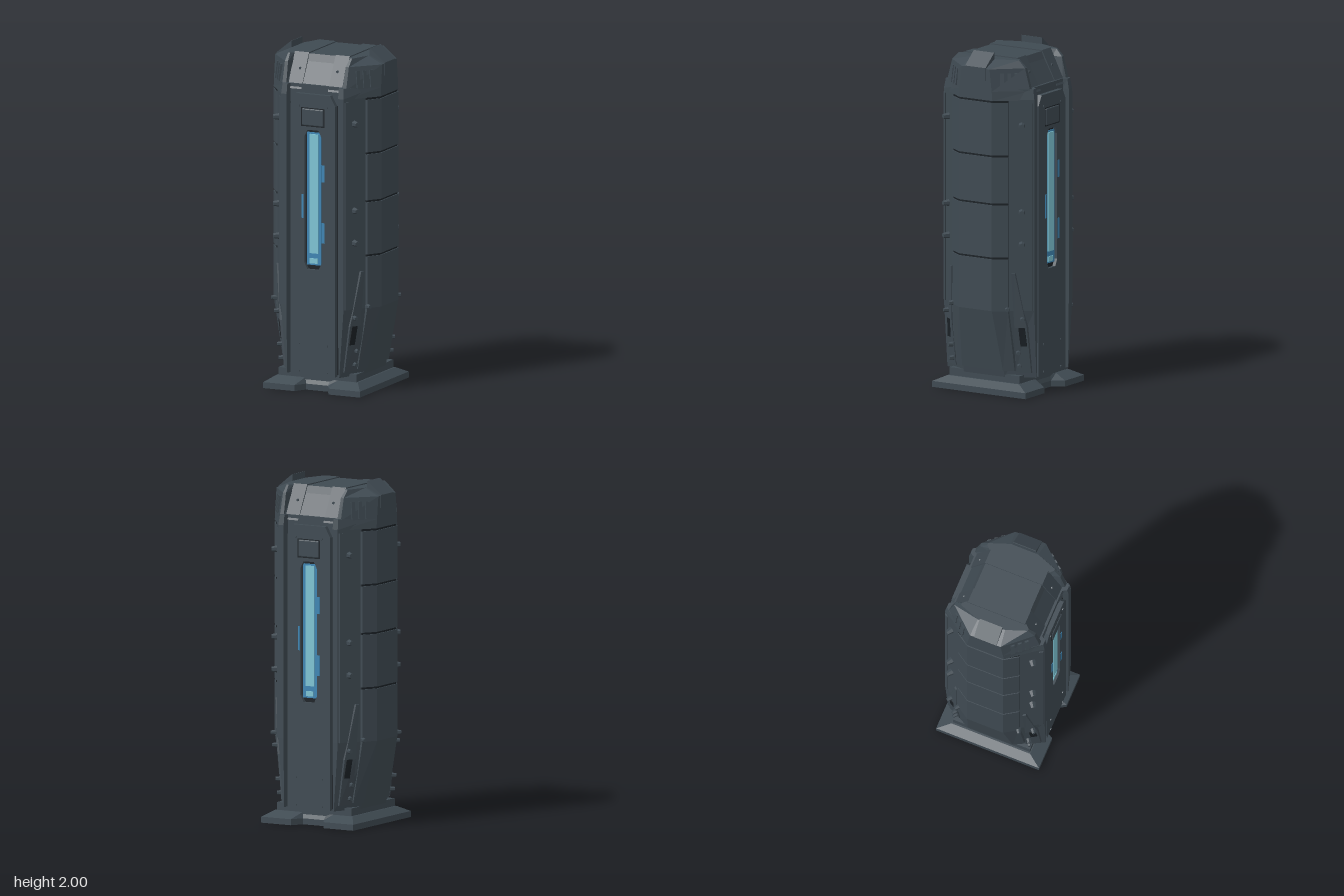
import * as THREE from 'three';
import { RoundedBoxGeometry } from 'three/addons/geometries/RoundedBoxGeometry.js';

const mat = (name, color) => new THREE.MeshStandardMaterial({ name, color, flatShading: true });

// Closed faceted solid through rings of [x, z] points at given heights
function loft(rings) {
  const pos = [];
  const tri = (...ps) => ps.forEach((p) => pos.push(...p));
  const pts = rings.map(([y, ring]) => ring.map(([x, z]) => [x, y, z]));
  const n = pts[0].length;
  const centre = (r) => [0, 1, 2].map((k) => r.reduce((s, p) => s + p[k], 0) / n);
  const top = pts[pts.length - 1], cb = centre(pts[0]), ct = centre(top);
  for (let i = 0; i < n; i++) {
    const j = (i + 1) % n;
    for (let r = 0; r < pts.length - 1; r++) {
      const a = pts[r], b = pts[r + 1];
      tri(a[i], b[i], a[j]);
      tri(a[j], b[i], b[j]);
    }
    tri(cb, pts[0][i], pts[0][j]);
    tri(ct, top[j], top[i]);
  }
  const g = new THREE.BufferGeometry();
  g.setAttribute('position', new THREE.Float32BufferAttribute(pos, 3));
  g.computeVertexNormals();
  return g;
}

// Mirror one quarter outline (from +x round to +z) into a full ring
function quad(q) {
  const rev = [...q].reverse();
  return [...q, ...rev.map(([x, z]) => [-x, z]), ...q.map(([x, z]) => [-x, -z]), ...rev.map(([x, z]) => [x, -z])];
}
const rect = (x0, x1, z) => [[x1, -z], [x1, z], [x0, z], [x0, -z]];

// Body surface: x on the slanted corner face for a given height and z
const lerp = THREE.MathUtils.lerp;
function cornerX(y, z) {
  const k = Math.min(1, Math.max(0, (y - 0.1) / 0.4));
  const hx = lerp(0.25, 0.335, k), cx = lerp(0.17, 0.2, k), cz = lerp(0.14, 0.11, k), hz = lerp(0.305, 0.31, k);
  return hx + ((cx - hx) * (z - cz)) / (hz - cz);
}

export function createModel() {
  const model = new THREE.Group();
  model.name = 'armouredPylon';
  const slate = mat('slate metal', 0x3f4a52);
  const dark = mat('dark seam', 0x1b2126);
  const light = mat('glowing cyan', 0x7fc6d6);
  const blue = mat('deep blue', 0x3f86b4);
  const add = (name, geo, m, x = 0, y = 0, z = 0, ry = 0) => {
    const mesh = new THREE.Mesh(geo, m);
    mesh.name = name;
    mesh.position.set(x, y, z);
    mesh.rotation.y = ry;
    model.add(mesh);
    return mesh;
  };
  const box = (w, h, d) => new THREE.BoxGeometry(w, h, d);

  // Base slab with front and back notches, then the neck
  add('baseSlab', loft([
    [0, quad([[0.31, 0.32], [0.11, 0.32], [0.07, 0.25]])],
    [0.035, quad([[0.31, 0.32], [0.11, 0.32], [0.07, 0.25]])],
    [0.07, quad([[0.26, 0.245], [0.13, 0.245], [0.08, 0.235]])],
  ]), slate);
  add('neck', box(0.5, 0.06, 0.48), slate, 0, 0.085, 0);

  // Main body with channels on the front and back
  const section = (hx, cz, cx, hz) => quad([[hx, cz], [cx, hz], [0.165, hz], [0.157, 0.275]]);
  add('body', loft([
    [0.1, section(0.25, 0.14, 0.17, 0.305)],
    [0.5, section(0.335, 0.11, 0.2, 0.31)],
    [1.74, section(0.335, 0.11, 0.2, 0.31)],
    [1.8, section(0.335, 0.11, 0.195, 0.3)],
  ]), slate);

  // Side armour in four plates, with dark seams between them
  const shell = (hx, cz, ex, ez) => [[hx, -cz], [hx, cz], [ex, ez], [0.2, ez], [0.2, -ez], [ex, -ez]];
  const full = shell(0.345, 0.112, 0.294, 0.19);
  const inner = shell(0.338, 0.112, 0.288, 0.188);
  const plates = [
    [[0.14, shell(0.27, 0.14, 0.238, 0.2)], [0.5, full], [0.804, full]],
    [[0.816, full], [1.122, full]],
    [[1.134, full], [1.404, full]],
    [[1.416, full], [1.724, full]],
  ];
  for (const ry of [0, Math.PI]) {
    plates.forEach((p) => add('sideArmour', loft(p), slate, 0, 0, 0, ry));
    [0.81, 1.128, 1.41, 1.73].forEach((y) =>
      add('sideSeam', loft([[y - 0.006, inner], [y + 0.006, inner]]), dark, 0, 0, 0, ry));
    // Upright prong on each side of the roof
    add('roofProng', loft([
      [1.85, rect(0.25, 0.346, 0.07)], [1.925, rect(0.25, 0.346, 0.07)], [2, rect(0.25, 0.254, 0.07)],
    ]), slate, 0, 0, 0, ry);
  }

  // Sloped cap with corner ridges, and roof pads either side of the centre strip
  add('cap', loft([
    [1.736, quad([[0.343, 0.115], [0.21, 0.29], [0.19, 0.285], [0.17, 0.27]])],
    [1.79, quad([[0.343, 0.11], [0.205, 0.285], [0.18, 0.283], [0.17, 0.266]])],
    [1.92, quad([[0.343, 0.095], [0.205, 0.25], [0.185, 0.25], [0.172, 0.194]])],
    [1.962, quad([[0.25, 0.085], [0.205, 0.208], [0.192, 0.208], [0.178, 0.175]])],
  ]), slate);
  for (const s of [-1, 1]) {
    const [x0, x1] = s > 0 ? [0.085, 0.176] : [-0.176, -0.085];
    add('roofPad', loft([[1.77, rect(x0, x1, 0.281)], [1.968, rect(x0, x1, 0.178)]]), slate);
  }

  // Front and back door plates with a window slot
  const door = new THREE.Shape([
    [-0.143, 0.1], [0.143, 0.1], [0.143, 1.69], [0.11, 1.75], [-0.11, 1.75], [-0.143, 1.69],
  ].map((p) => new THREE.Vector2(...p)));
  door.holes.push(new THREE.Path([
    [-0.055, 0.76], [-0.055, 1.5], [-0.035, 1.54], [0.035, 1.54], [0.055, 1.5], [0.055, 0.76], [0.035, 0.72], [-0.035, 0.72],
  ].map((p) => new THREE.Vector2(...p))));
  const doorGeo = new THREE.ExtrudeGeometry(door, { depth: 0.032, bevelEnabled: false });
  for (const s of [1, -1]) {
    const ry = s > 0 ? 0 : Math.PI;
    const face = (name, geo, m, x, y, z) => add(name, geo, m, s * x, y, s * z, ry);
    face('doorPlate', doorGeo, slate, 0, 0, 0.27);
    face('windowRecess', box(0.11, 0.82, 0.006), dark, 0, 1.13, 0.279);
    face('windowFrame', box(0.092, 0.78, 0.008), blue, 0, 1.135, 0.284);
    face('windowLight', box(0.056, 0.70, 0.009), light, 0.002, 1.165, 0.291);
    face('windowFoot', box(0.05, 0.03, 0.009), light, 0, 0.77, 0.289);
    face('glowPatch', box(0.018, 0.1, 0.004), blue, 0.066, 1.29, 0.302);
    face('glowPatch', box(0.018, 0.12, 0.004), blue, 0.066, 0.94, 0.302);
    face('glowPatch', box(0.012, 0.14, 0.004), blue, -0.066, 1.09, 0.302);
    face('buttonSurround', box(0.15, 0.11, 0.004), dark, 0, 1.615, 0.301);
    face('button', new RoundedBoxGeometry(0.138, 0.1, 0.016, 2, 0.007), slate, 0, 1.615, 0.302);
    for (const x of [-1, 1]) {
      face('doorSeam', box(0.012, 1.58, 0.004), dark, x * 0.15, 0.9, 0.277);
      const rivet = new THREE.CylinderGeometry(0.008, 0.008, 0.008, 6).rotateX(Math.PI / 2);
      [0.12, 0.28, 1.68].forEach((y) => face('doorRivet', rivet, slate, x * 0.09, y, 0.303));
      face('roofRivet', rivet, slate, x * 0.12, 1.88, 0.224);
    }
  }

  // Slanted corners: bolts, lower guard plates and cap ribs
  const bolt = new THREE.CylinderGeometry(0.014, 0.021, 0.04, 6).rotateX(Math.PI / 2);
  const smallBolt = new THREE.CylinderGeometry(0.011, 0.016, 0.036, 6).rotateX(Math.PI / 2);
  for (const sx of [-1, 1]) for (const sz of [-1, 1]) {
    const ry = Math.atan2(sx * 0.83, sz * 0.56);
    const onCorner = (name, geo, y, z, out) =>
      add(name, geo, slate, sx * (cornerX(y, z) + out * 0.83), y, sz * (z + out * 0.56), ry);
    [1.59, 1.08, 0.89].forEach((y) => onCorner('cornerBolt', bolt, y, 0.25, 0.016));
    [[0.51, 0.18], [0.45, 0.25], [0.25, 0.22], [0.17, 0.22]].forEach(([y, z]) =>
      onCorner('lowerBolt', smallBolt, y, z, 0.018));
    const strip = (name, rows, out, m) => add(name, loft(rows.map(([y, z1, z2]) => {
      const a = cornerX(y, z1), b = cornerX(y, z2);
      const ring = [[a + out, z1], [b + out, z2], [b - 0.02, z2], [a - 0.02, z1]].map(([x, z]) => [sx * x, sz * z]);
      return [y, sx * sz > 0 ? ring : ring.reverse()];
    })), m);
    strip('guardPlate', [[0.13, 0.205, 0.285], [0.4, 0.215, 0.275], [0.72, 0.205, 0.222]], 0.012, slate);
    strip('guardInset', [[0.29, 0.24, 0.272], [0.4, 0.235, 0.265]], 0.015, dark);
    strip('cornerEdge', [[0.5, 0.285, 0.305], [1.72, 0.285, 0.305]], 0.008, slate);
    for (const t of [0.3, 0.5, 0.7]) {
      const rib = add('capRib', box(0.022, 0.1, 0.016), slate,
        sx * lerp(0.343, 0.207, t), 1.845, sz * lerp(0.105, 0.268, t), ry);
      rib.rotation.order = 'YXZ';
      rib.rotation.x = -0.12;
    }
  }
  return model;
}
